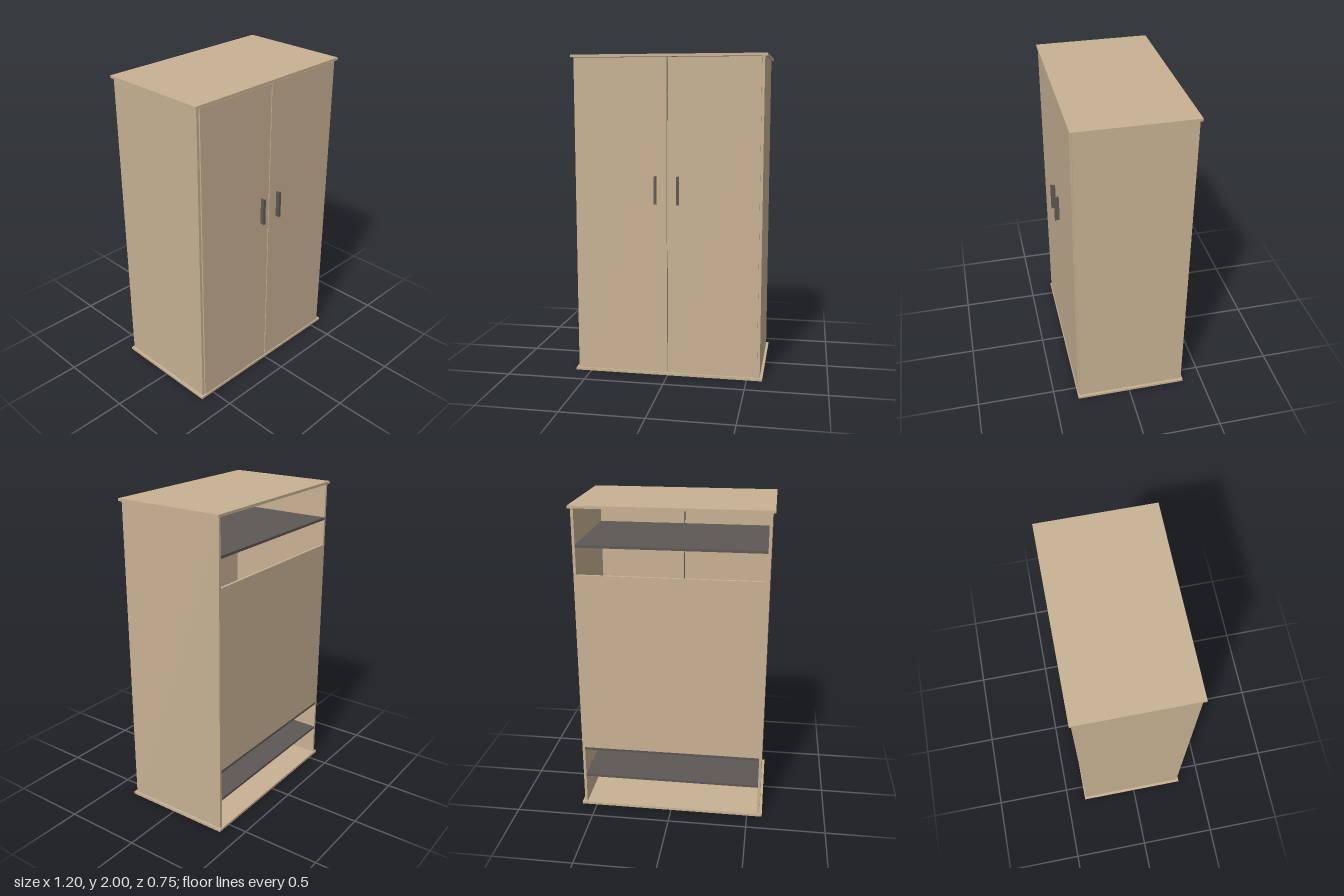
import * as THREE from 'three';

export function createModel() {
  const wood = new THREE.MeshStandardMaterial({ color: 0xc8b293 });
  wood.name = 'light wood';
  const dark = new THREE.MeshStandardMaterial({ color: 0x5c5856 });
  dark.name = 'dark grey';

  const wardrobe = new THREE.Group();
  wardrobe.name = 'wardrobe';

  // Box given by its lowest and highest corners
  function panel(name, material, [x0, y0, z0], [x1, y1, z1], parent = wardrobe) {
    const mesh = new THREE.Mesh(new THREE.BoxGeometry(x1 - x0, y1 - y0, z1 - z0), material);
    mesh.position.set((x0 + x1) / 2, (y0 + y1) / 2, (z0 + z1) / 2);
    mesh.name = name;
    parent.add(mesh);
  }

  const T = 0.016; // board thickness
  const back = -0.363;
  const inner = 0.565;

  // Overhanging top and base
  panel('base', wood, [-0.598, 0, -0.373], [0.598, T, 0.347]);
  panel('top', wood, [-0.598, 2 - T, -0.373], [0.598, 2, 0.347]);

  // Partial back, open above and below
  panel('backPanel', wood, [-inner, 0.425, back], [inner, 1.585, back + T]);

  // Shelves; the one at the lower edge of the back sits just under it
  for (const y of [0.21, 0.409, 0.587, 1.752]) {
    panel('shelf', dark, [-inner, y, y === 0.587 ? back + T : back], [inner, y + T, 0.325]);
  }

  // Sides, doors and T-section handles, mirrored
  for (const s of [-1, 1]) {
    const side = s < 0 ? 'right' : 'left';
    const span = (a, b) => (s < 0 ? [-b, -a] : [a, b]);

    const [sx0, sx1] = span(inner, 0.582);
    panel(side + 'Side', wood, [sx0, T, back], [sx1, 2 - T, 0.334]);

    const [dx0, dx1] = span(0.003, inner);
    panel(side + 'Door', wood, [dx0, T + 0.003, 0.327], [dx1, 2 - T - 0.003, 0.343]);

    const handle = new THREE.Group();
    handle.name = side + 'Handle';
    wardrobe.add(handle);
    const x = s * 0.07;
    panel('handleStem', dark, [x - 0.003, 1.095, 0.343], [x + 0.003, 1.268, 0.366], handle);
    panel('handleGrip', dark, [x - 0.009, 1.095, 0.366], [x + 0.009, 1.268, 0.373], handle);
  }

  return wardrobe;
}
